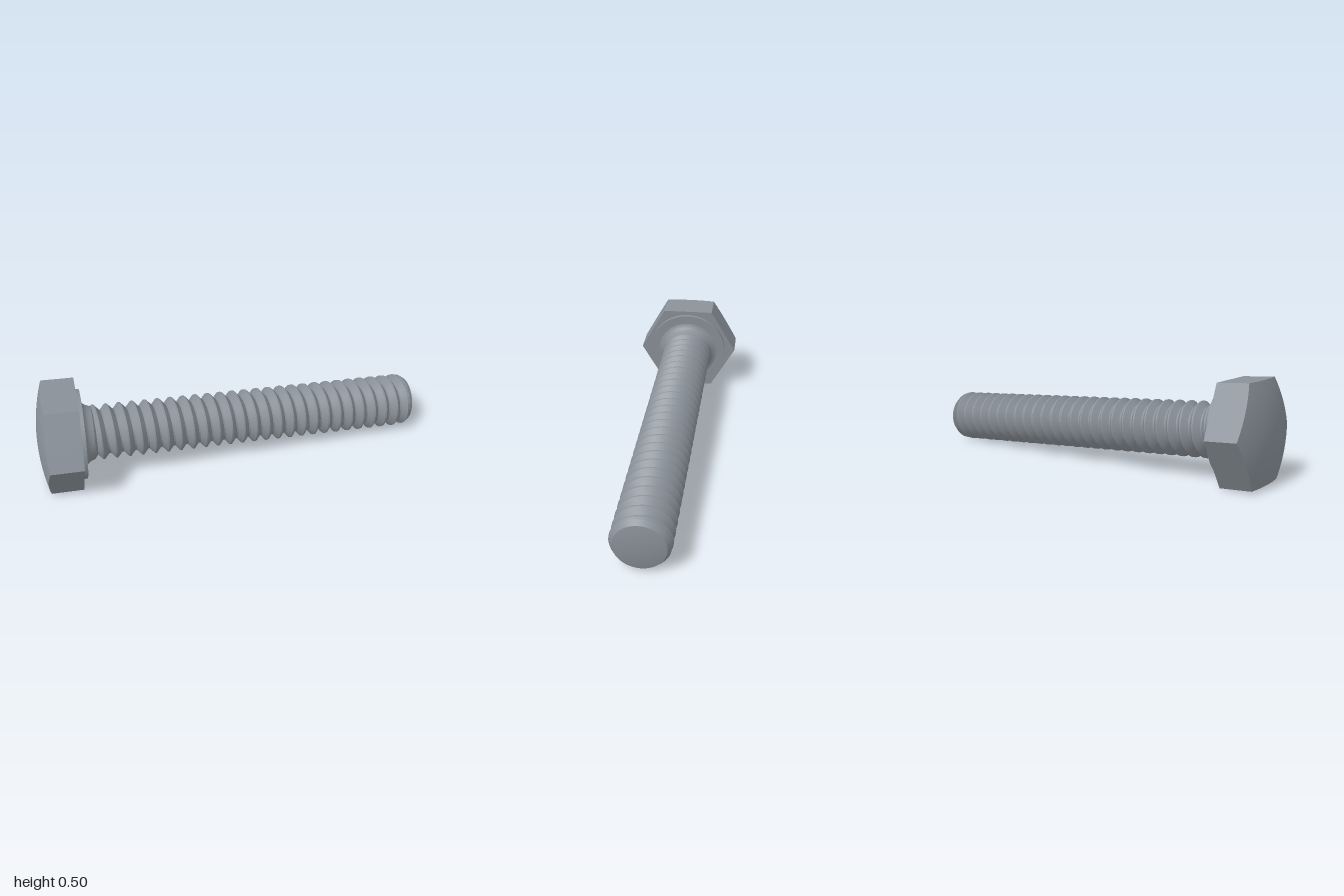
import * as THREE from 'three';
import { toCreasedNormals } from 'three/addons/utils/BufferGeometryUtils.js';

const STEEL = new THREE.MeshStandardMaterial({ color: 0x8a9199 });
STEEL.name = 'steel grey';

const HEX = 0.247;       // half the width across the flats
const CREST = 0.14;      // thread radii
const ROOT = 0.112;
const PITCH = 0.066;
const LENGTH = 1.78;     // underside of the head to the tip
const TAU = Math.PI * 2;

// Grid surface around the x axis; fn(i, j) returns [along axis, radius, angle]
function surface(name, ni, nj, fn) {
  const pos = [], index = [];
  for (let i = 0; i <= ni; i++) {
    for (let j = 0; j <= nj; j++) {
      const [s, r, a] = fn(i, j);
      pos.push(s, r * Math.cos(a), r * Math.sin(a));
    }
  }
  const row = nj + 1;
  for (let i = 0; i < ni; i++) {
    for (let j = 0; j < nj; j++) {
      const a = i * row + j, b = a + row;
      index.push(a, b, a + 1, b, b + 1, a + 1);
    }
  }
  let geo = new THREE.BufferGeometry();
  geo.setAttribute('position', new THREE.Float32BufferAttribute(pos, 3));
  geo.setIndex(index);
  // enlarge while creasing so that close vertices stay distinct
  geo.scale(100, 100, 100);
  geo = toCreasedNormals(geo, 0.5);
  geo.scale(0.01, 0.01, 0.01);
  const mesh = new THREE.Mesh(geo, STEEL);
  mesh.name = name;
  return mesh;
}

// Turned part from [along axis, radius] points
function turned(name, points) {
  const n = 64;
  return surface(name, n, points.length - 1, (i, j) => [...points[j], (i / n) * TAU]);
}

// Hexagonal head with a shallow domed top
function makeHead() {
  const n = 72, rings = 8;
  const dome = (r) => -(0.205 - 0.55 * r * r);
  return surface('hexHead', n, rings + 2, (i, j) => {
    const a = (i / n) * TAU;
    const off = ((a + Math.PI / 6) % (Math.PI / 3)) - Math.PI / 6;
    const edge = HEX / Math.cos(off);
    if (j === rings + 2) return [0, 0, a];
    if (j === rings + 1) return [0, edge, a];
    const r = (edge * j) / rings;
    return [dome(r), r, a];
  });
}

// Right-handed helical thread, clipped at both ends
function makeThread() {
  const profile = [[0, ROOT], [0.12, ROOT], [0.5, CREST], [0.62, CREST], [1, ROOT]];
  const start = 0.05, end = LENGTH - 0.012, steps = 40;
  const turns = Math.ceil((end - start) / PITCH) + 1;
  return surface('thread', turns * steps, profile.length - 1, (i, j) => {
    const t = i / steps;
    const s = THREE.MathUtils.clamp(start + (t - 1 + profile[j][0]) * PITCH, start, end);
    const limit = Math.min(CREST, 0.127 + (end - s) * 0.7);
    return [s, Math.min(profile[j][1], limit), t * TAU];
  });
}

export function createModel() {
  const bolt = new THREE.Group();
  bolt.name = 'hexBolt';
  bolt.add(makeHead());

  // Washer face under the head
  bolt.add(turned('washerFace', [[-0.005, 0.226], [0.02, 0.226], [0.02, 0.1]]));

  // Concave fillet between head and shank
  bolt.add(turned('neckFillet', [
    [0.019, 0.18], [0.023, 0.166], [0.031, 0.153], [0.042, 0.144],
    [0.056, 0.138], [0.068, 0.134], [0.085, ROOT],
  ]));

  bolt.add(makeThread());

  // Chamfered end with a slightly domed face
  bolt.add(turned('tip', [
    [LENGTH - 0.04, ROOT - 0.002], [LENGTH - 0.024, 0.136], [LENGTH, 0.12],
    [LENGTH + 0.006, 0.09], [LENGTH + 0.01, 0.05], [LENGTH + 0.012, 0],
  ]));

  // Lay the bolt along its slanted axis
  const x = new THREE.Vector3(0.976, -0.063, 0.208).normalize();
  const z = new THREE.Vector3().crossVectors(x, new THREE.Vector3(0, 1, 0)).normalize();
  const y = new THREE.Vector3().crossVectors(z, x);
  bolt.quaternion.setFromRotationMatrix(new THREE.Matrix4().makeBasis(x, y, z));
  bolt.position.set(-0.775, 0.251, -0.1);

  const model = new THREE.Group();
  model.name = 'model';
  model.add(bolt);
  return model;
}
